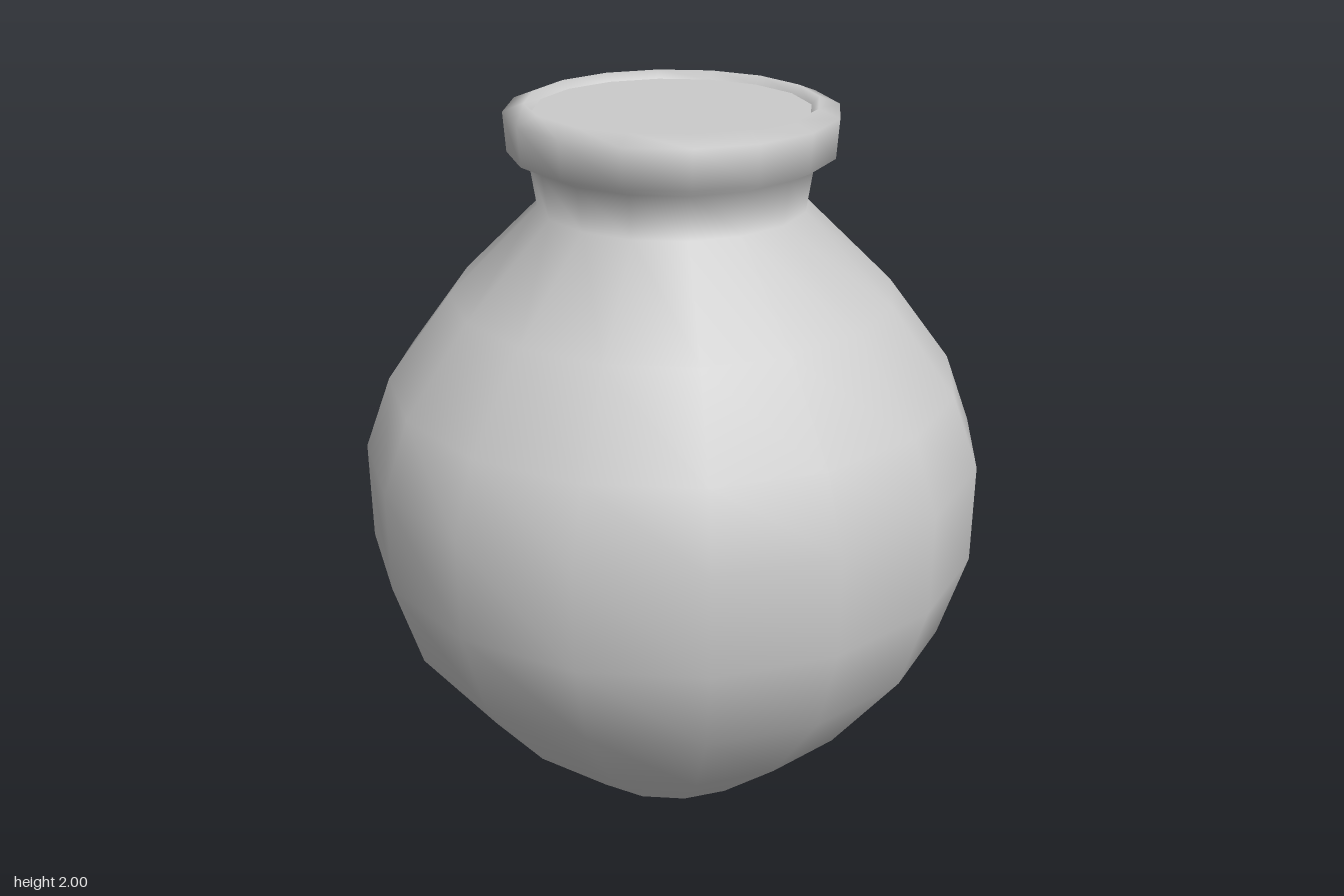
import * as THREE from 'three';

const SIDES = 16;

export function createModel() {
  const group = new THREE.Group();
  group.name = 'jar';
  const material = new THREE.MeshStandardMaterial({ color: 0xcccccc });

  const add = (name, geometry) => {
    const mesh = new THREE.Mesh(geometry, material);
    mesh.name = name;
    group.add(mesh);
    return mesh;
  };

  // Round belly, short neck and rolled rim: radius, height from foot to mouth
  const profile = [
    [0.32, 0], [0.585, 0.24], [0.79, 0.515], [0.865, 0.765],
    [0.865, 1.045], [0.79, 1.245], [0.61, 1.485], [0.365, 1.725],
    [0.383, 1.845], [0.44, 1.873], [0.447, 1.978], [0.39, 2], [0.37, 1.978],
  ].map(([r, y]) => new THREE.Vector2(r, y));
  add('vesselWall', new THREE.LatheGeometry(profile, SIDES));

  // Flat discs closing the mouth and the foot
  const disc = (name, radius, y, facing) => {
    const mesh = add(name, new THREE.CircleGeometry(radius, SIDES));
    mesh.rotation.x = -facing * Math.PI / 2;
    mesh.position.y = y;
  };
  disc('mouthDisc', 0.37, 1.978, 1);
  disc('footDisc', 0.32, 0, -1);

  return group;
}
